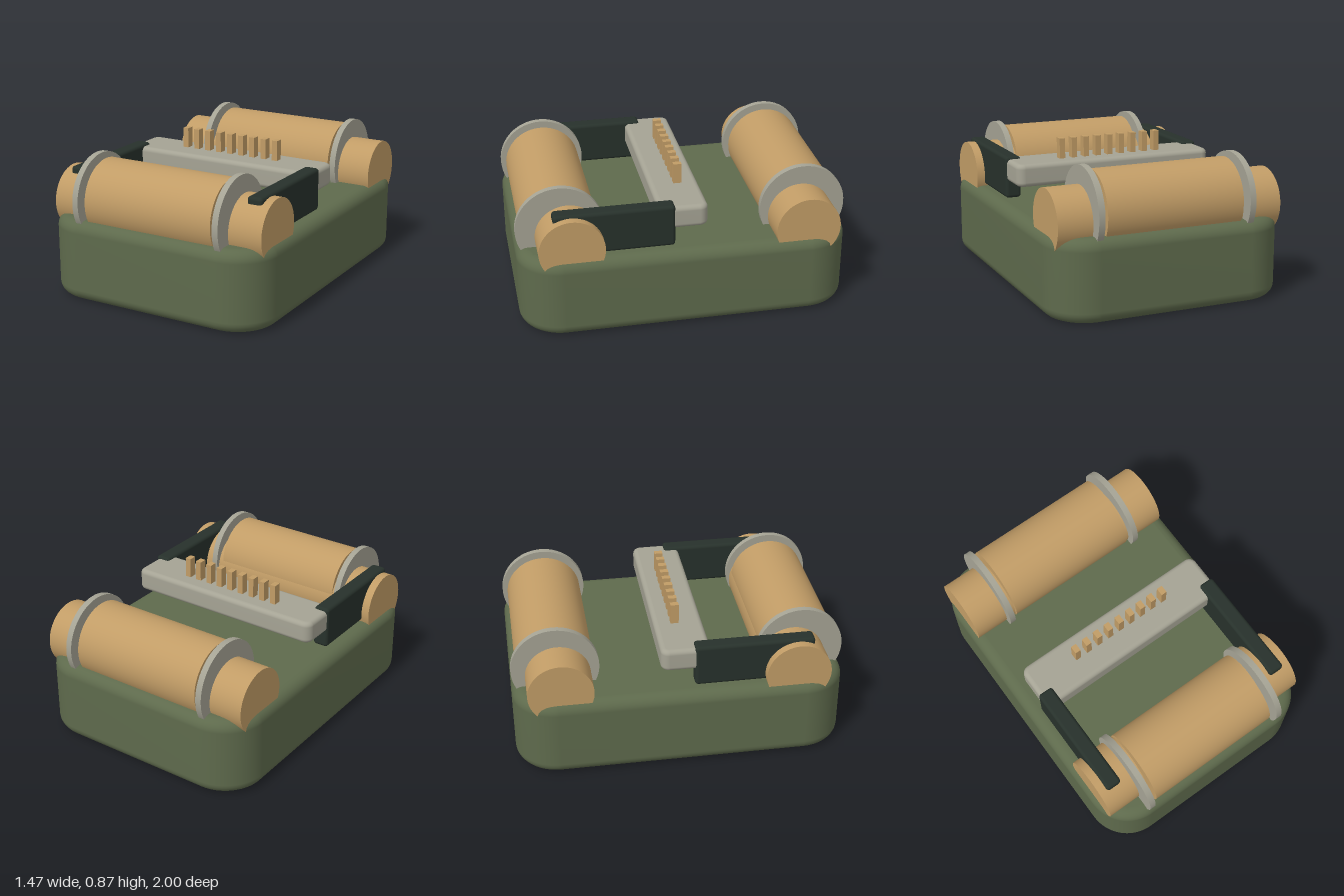
import * as THREE from 'three';
import { mergeVertices } from 'three/addons/utils/BufferGeometryUtils.js';
import { RoundedBoxGeometry } from 'three/addons/geometries/RoundedBoxGeometry.js';

const mat = (name, color) => Object.assign(new THREE.MeshStandardMaterial({ color }), { name });

// Slab with rounded plan corners (r) and rounded top and bottom edges (b), base at y = 0
function softSlab(w, h, d, r, b) {
  const x = w / 2 - b, y = d / 2 - b, c = r - b;
  const s = new THREE.Shape();
  s.absarc(x - c, y - c, c, 0, Math.PI / 2);
  s.absarc(-x + c, y - c, c, Math.PI / 2, Math.PI);
  s.absarc(-x + c, -y + c, c, Math.PI, Math.PI * 1.5);
  s.absarc(x - c, -y + c, c, Math.PI * 1.5, Math.PI * 2);
  s.closePath();
  let g = new THREE.ExtrudeGeometry(s, {
    depth: h - 2 * b, bevelEnabled: true, bevelThickness: b, bevelSize: b,
    bevelSegments: 6, curveSegments: 10,
  });
  g.rotateX(-Math.PI / 2).translate(0, b, 0);
  g.deleteAttribute('uv');
  g.deleteAttribute('normal');
  g = mergeVertices(g, 1e-4);
  g.computeVertexNormals();
  return g;
}

export function createModel() {
  const model = new THREE.Group();
  model.name = 'rollerMachine';
  const green = mat('oliveGreen', 0x5e6a4c);
  const tan = mat('tanWood', 0xc19c66);
  const grey = mat('warmGrey', 0xa5a394);
  const dark = mat('darkGreen', 0x27312b);

  const add = (parent, name, geometry, material, x, y, z) => {
    const m = new THREE.Mesh(geometry, material);
    m.name = name;
    m.position.set(x, y, z);
    parent.add(m);
    return m;
  };
  const roll = (r, len) => new THREE.CylinderGeometry(r, r, len, 64).rotateZ(Math.PI / 2);

  // Base
  add(model, 'base', softSlab(1.47, 0.495, 2, 0.26, 0.07), green, 0, 0, 0);

  // Front and back rollers: thin core, thick drum and two flanges
  for (const [name, z, coreZ] of [['frontRoller', 0.737, 0.69], ['backRoller', -0.737, -0.722]]) {
    const g = new THREE.Group();
    g.name = name;
    model.add(g);
    add(g, 'core', roll(0.195, 1.41), tan, 0, 0.555, coreZ);
    add(g, 'drum', roll(0.232, 0.855), tan, 0, 0.603, z);
    for (const s of [-1, 1]) add(g, 'flange', roll(0.262, 0.038), grey, s * 0.475, 0.603, z);
  }

  // Cross bar with a row of pegs
  add(model, 'crossBar', softSlab(1.294, 0.138, 0.295, 0.05, 0.028), grey, 0, 0.611, 0.022);
  for (let i = -4; i <= 4; i++) {
    add(model, 'peg', new THREE.BoxGeometry(0.036, 0.155, 0.05), tan, i * 0.08, 0.797, 0);
  }

  // Side arms reaching from the bar to the front roller
  for (const s of [-1, 1]) {
    add(model, s > 0 ? 'leftArm' : 'rightArm',
      new RoundedBoxGeometry(0.098, 0.26, 0.715, 4, 0.02), dark, s * 0.606, 0.634, 0.432);
  }
  return model;
}
